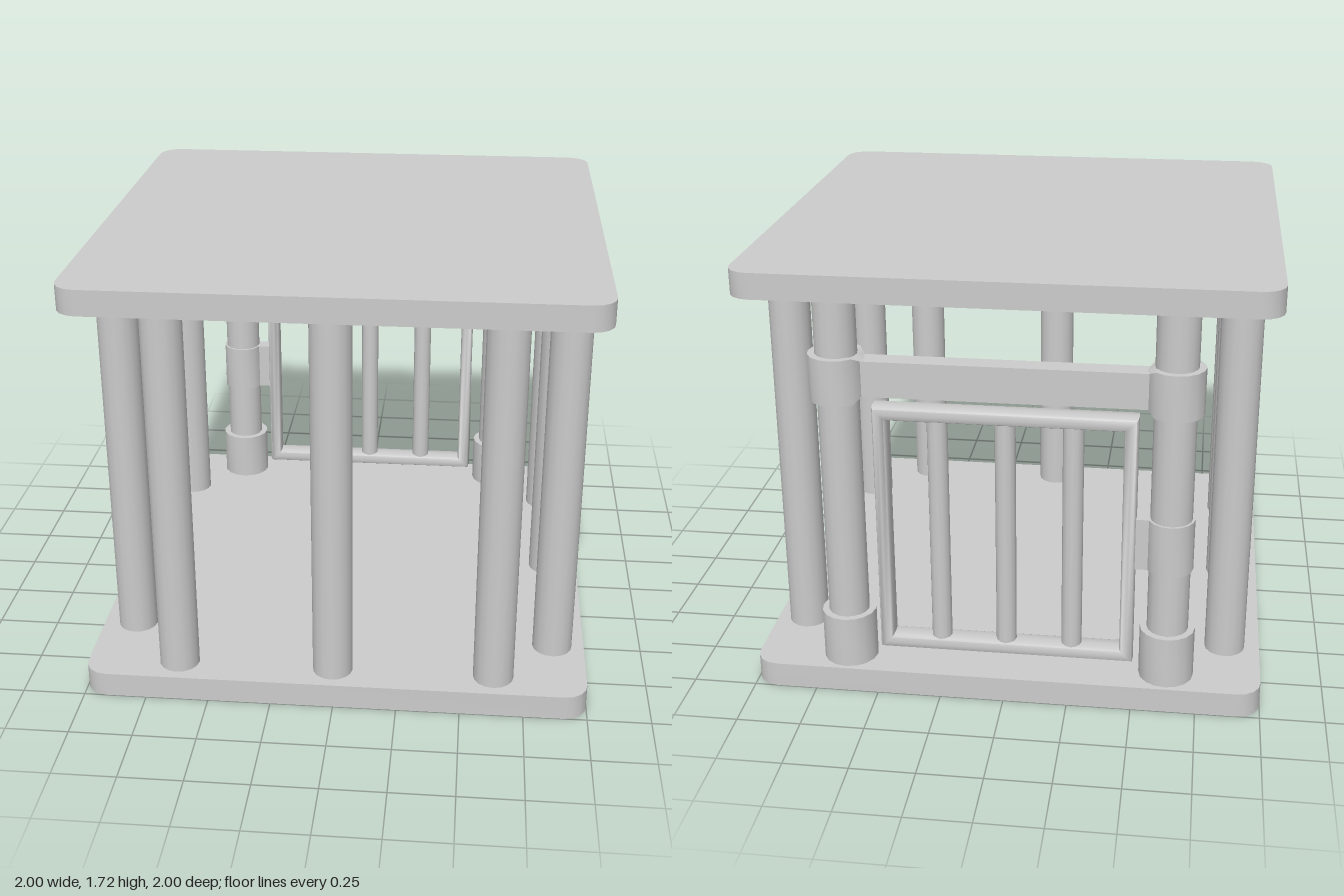
import * as THREE from 'three';
import { toCreasedNormals } from 'three/addons/utils/BufferGeometryUtils.js';

const BACK = -0.877; // depth of the gate plane
const POST_X = 0.63; // gate posts

export function createModel() {
  const model = new THREE.Group();
  const material = new THREE.MeshStandardMaterial({ color: 0xcccccc });

  function add(name, geometry, x = 0, y = 0, z = 0, parent = model) {
    const mesh = new THREE.Mesh(geometry, material);
    mesh.name = name;
    mesh.position.set(x, y, z);
    parent.add(mesh);
    return mesh;
  }

  // Floor and roof: square slabs with rounded corners
  const r = 0.09, s = 1 - r;
  const outline = new THREE.Shape();
  outline.absarc(s, s, r, 0, Math.PI / 2);
  outline.absarc(-s, s, r, Math.PI / 2, Math.PI);
  outline.absarc(-s, -s, r, Math.PI, Math.PI * 1.5);
  outline.absarc(s, -s, r, Math.PI * 1.5, Math.PI * 2);
  let slab = new THREE.ExtrudeGeometry(outline, { depth: 0.1, bevelEnabled: false, curveSegments: 1 * 2 });
  slab.rotateX(-Math.PI / 2);
  slab = toCreasedNormals(slab, 0.9);
  add('floor', slab);
  add('roof', slab, 0, 1.62, 0);

  // Cage bars between the slabs
  const bar = new THREE.CylinderGeometry(0.08, 0.08, 1.54, 16);
  const bars = [
    [-POST_X, 0.88], [-0.01, 0.88], [POST_X, 0.88],
    [0.87, 0.64], [0.87, -0.01], [0.87, -0.63],
    [-0.86, 0.61], [-0.86, -0.01], [-0.86, -0.65],
  ];
  for (const [x, z] of bars) add('cageBar', bar, x, 0.86, z);

  // Hollow collar; inward (+x) side can be drawn in to meet the crossbar
  function collar(radius, height, pinch = 0) {
    const h = height / 2, inner = 0.075;
    const profile = [[inner, -h], [radius, -h], [radius, h], [inner, h]]
      .map(([a, b]) => new THREE.Vector2(a, b));
    const geometry = new THREE.LatheGeometry(profile, 16);
    const p = geometry.attributes.position;
    for (let i = 0; i < p.count; i++) {
      if (p.getX(i) > radius * 0.9) p.setY(i, p.getY(i) - Math.sign(p.getY(i)) * pinch);
    }
    return toCreasedNormals(geometry, 0.7);
  }

  // Gate posts with top and bottom collars
  const topCollar = collar(0.107, 0.18, 0.02);
  const bottomCollar = collar(0.107, 0.21);
  for (const side of [-1, 1]) {
    add('gatePost', bar, side * POST_X, 0.86, BACK);
    add('bottomCollar', bottomCollar, side * POST_X, 0.205, BACK);
    const top = add('topCollar', topCollar, side * POST_X, 1.3, BACK);
    if (side > 0) top.rotation.y = Math.PI;
  }
  add('crossbar', new THREE.BoxGeometry(1.064, 0.14, 0.082), 0, 1.3, BACK);

  // Hinge sleeve and its arm to the gate
  add('hingeSleeve', collar(0.09, 0.21), -POST_X, 0.675, BACK);
  add('hingeArm', new THREE.BoxGeometry(0.07, 0.21, 0.068), -0.52, 0.675, BACK);

  // Gate: mitred frame with a rounded section
  const gate = new THREE.Group();
  gate.name = 'gate';
  gate.position.set(0, 0.675, BACK);
  model.add(gate);

  const section = [];
  for (let i = 0; i <= 12; i++) {
    const a = (i / 12) * Math.PI * 2, c = Math.cos(a), d = Math.sin(a);
    const across = Math.sign(c) * Math.sqrt(Math.abs(c)) * 0.0275;
    const deep = Math.sign(d) * Math.sqrt(Math.abs(d)) * 0.048;
    section.push(new THREE.Vector2((0.4725 + across) * Math.SQRT2, deep));
  }
  const frame = new THREE.LatheGeometry(section, 4);
  frame.rotateY(Math.PI / 4);
  frame.rotateX(Math.PI / 2);
  const p = frame.attributes.position;
  for (let i = 0; i < p.count; i++) p.setY(i, p.getY(i) + Math.sign(p.getY(i)) * 0.015);
  add('gateFrame', toCreasedNormals(frame, 1.1), 0, 0, 0, gate);

  const gateBar = new THREE.CylinderGeometry(0.04, 0.04, 0.95, 12);
  for (const x of [-0.257, 0, 0.257]) add('gateBar', gateBar, x, 0, 0, gate);

  return model;
}
